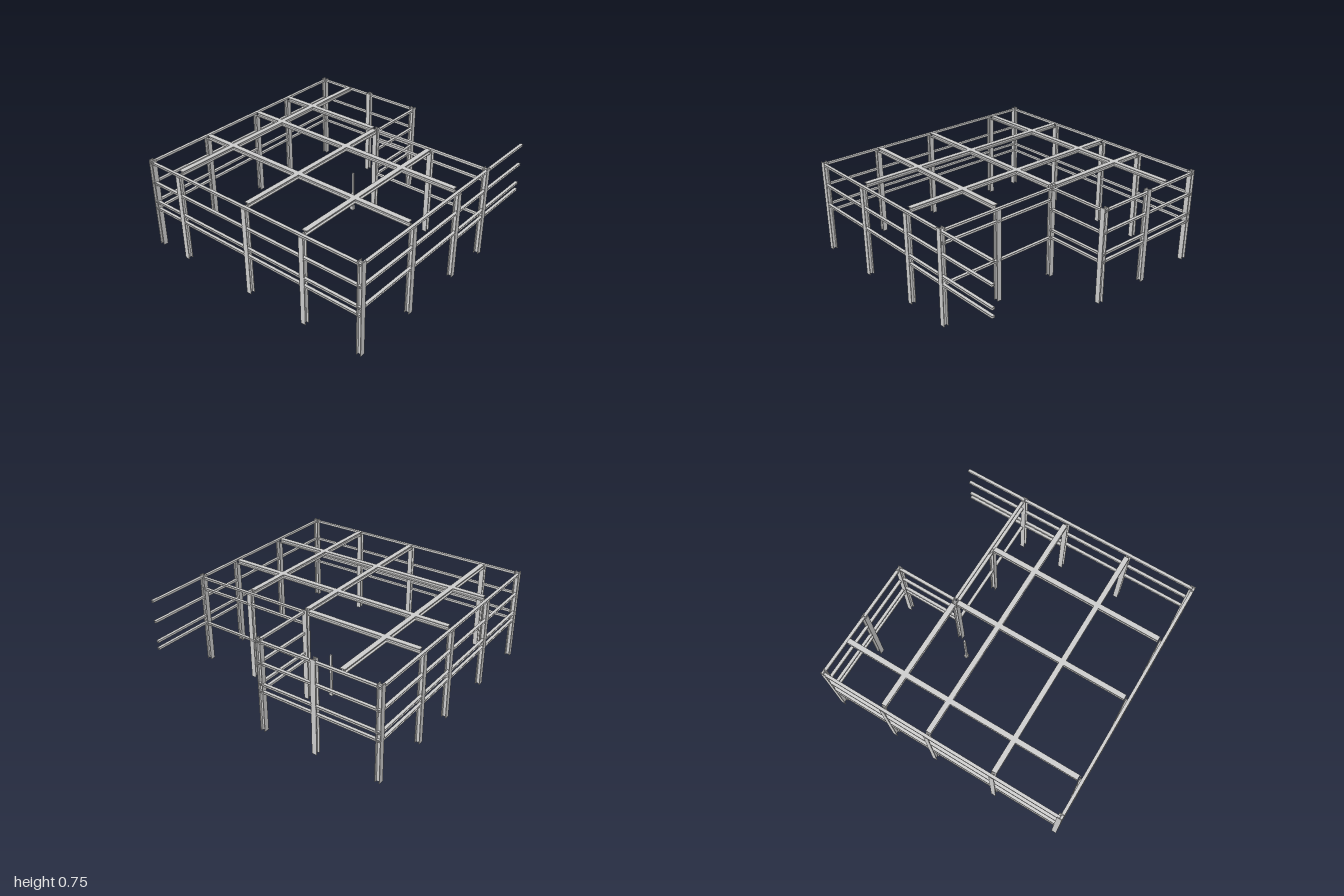
import * as THREE from 'three';

const material = new THREE.MeshStandardMaterial({ color: 0xcccccc, flatShading: true });

function polygon(points) {
  return new THREE.Shape(points.map(([x, y]) => new THREE.Vector2(x, y)));
}

// I-section with its flanges at the top and bottom of the shape
function iSection(w, h, flange, web) {
  const a = w / 2, b = h / 2, c = b - flange, d = web / 2;
  return polygon([[-a, -b], [a, -b], [a, -c], [d, -c], [d, c], [a, c],
    [a, b], [-a, b], [-a, c], [-d, c], [-d, -c], [-a, -c]]);
}

// Channel section that opens towards +x of the shape
function channelSection(w, h, t) {
  const a = w / 2, b = h / 2;
  return polygon([[-a, -b], [a, -b], [a, -b + t], [-a + t, -b + t],
    [-a + t, b - t], [a, b - t], [a, b], [-a, b]]);
}

const columnShape = iSection(0.04, 0.04, 0.006, 0.006);
const beamShape = iSection(0.04, 0.034, 0.006, 0.006);
const girtShape = channelSection(0.024, 0.017, 0.003);

// Extruded bar, centred on its own origin and running along z
function bar(shape, length) {
  const geometry = new THREE.ExtrudeGeometry(shape, { depth: length, bevelEnabled: false });
  return geometry.translate(0, 0, -length / 2);
}

export function createModel() {
  const model = new THREE.Group();
  model.name = 'steelFrame';

  function add(name, geometry, x, y, z) {
    const mesh = new THREE.Mesh(geometry, material);
    mesh.name = name;
    mesh.position.set(x, y, z);
    model.add(mesh);
  }

  function column(name, x, z, height, facesX) {
    const geometry = bar(columnShape, height).rotateX(-Math.PI / 2);
    if (facesX) geometry.rotateY(Math.PI / 2);
    add(name, geometry, x, height / 2, z);
  }

  function beamAlongX(x0, x1, z) {
    add('crossBeam', bar(beamShape, x1 - x0).rotateY(Math.PI / 2), (x0 + x1) / 2, 0.731, z);
  }

  function beamAlongZ(z0, z1, x) {
    add('longBeam', bar(beamShape, z1 - z0), x, 0.731, (z0 + z1) / 2);
  }

  // Wall rails: the channel opens towards the outside of the wall
  function girtsAlongX(name, x0, x1, z, outward, heights) {
    for (const y of heights)
      add(name, bar(girtShape, x1 - x0).rotateY(-outward * Math.PI / 2), (x0 + x1) / 2, y, z);
  }

  function girtsAlongZ(name, z0, z1, x, outward, heights) {
    for (const y of heights)
      add(name, bar(girtShape, z1 - z0).rotateY(outward > 0 ? 0 : Math.PI), x, y, (z0 + z1) / 2);
  }

  // Corner columns
  for (const [x, z] of [[-0.98, 0.98], [-0.98, -0.98], [0.98, -0.98], [0.98, -0.02], [0.478, 0.98]])
    column('cornerColumn', x, z, 0.75, false);
  column('innerCornerColumn', 0.478, -0.02, 0.75, true);

  // Columns within the walls
  for (const x of [-0.44, 0.1]) {
    column('frontColumn', x, 0.98, 0.715, false);
    column('backColumn', x, -0.98, 0.715, false);
  }
  column('backColumn', 0.476, -0.98, 0.715, false);
  for (const z of [0.5, -0.02, -0.685]) column('sideColumn', -0.98, z, 0.718, true);
  column('recessColumn', 0.478, 0.5, 0.72, true);
  column('sideColumn', 0.98, -0.475, 0.75, true);

  // Roof beams
  beamAlongX(-0.955, 0.455, 0.495);
  beamAlongX(-0.955, 0.455, -0.022);
  beamAlongX(-0.955, 0.975, -0.69);
  beamAlongZ(-0.96, 0.955, -0.44);
  beamAlongZ(-0.96, 0.955, 0.1);
  beamAlongZ(-0.96, -0.05, 0.476);

  // Wall rails; the front set runs past the recess
  const levels = [0.332, 0.393, 0.56, 0.729];
  girtsAlongX('frontRail', -1, 1, 0.988, 1, levels.slice(1));
  girtsAlongX('lowFrontRail', 0.12, 1, 0.988, 1, [levels[0]]);
  girtsAlongX('backRail', -1, 1, -0.988, -1, levels);
  girtsAlongZ('rightRail', -1, 1, -0.988, -1, levels);
  girtsAlongZ('leftRail', -1, 0, 0.988, 1, levels);
  girtsAlongX('recessBackRail', 0.486, 1, -0.012, 1, levels);
  girtsAlongZ('recessSideRail', 0, 0.98, 0.488, 1, [0.332, 0.637, 0.729]);

  // Small post standing on a block
  add('postBase', new THREE.BoxGeometry(0.03, 0.038, 0.03), 0.347, 0.019, -0.147);
  add('post', new THREE.BoxGeometry(0.014, 0.314, 0.018), 0.347, 0.193, -0.143);

  return model;
}
